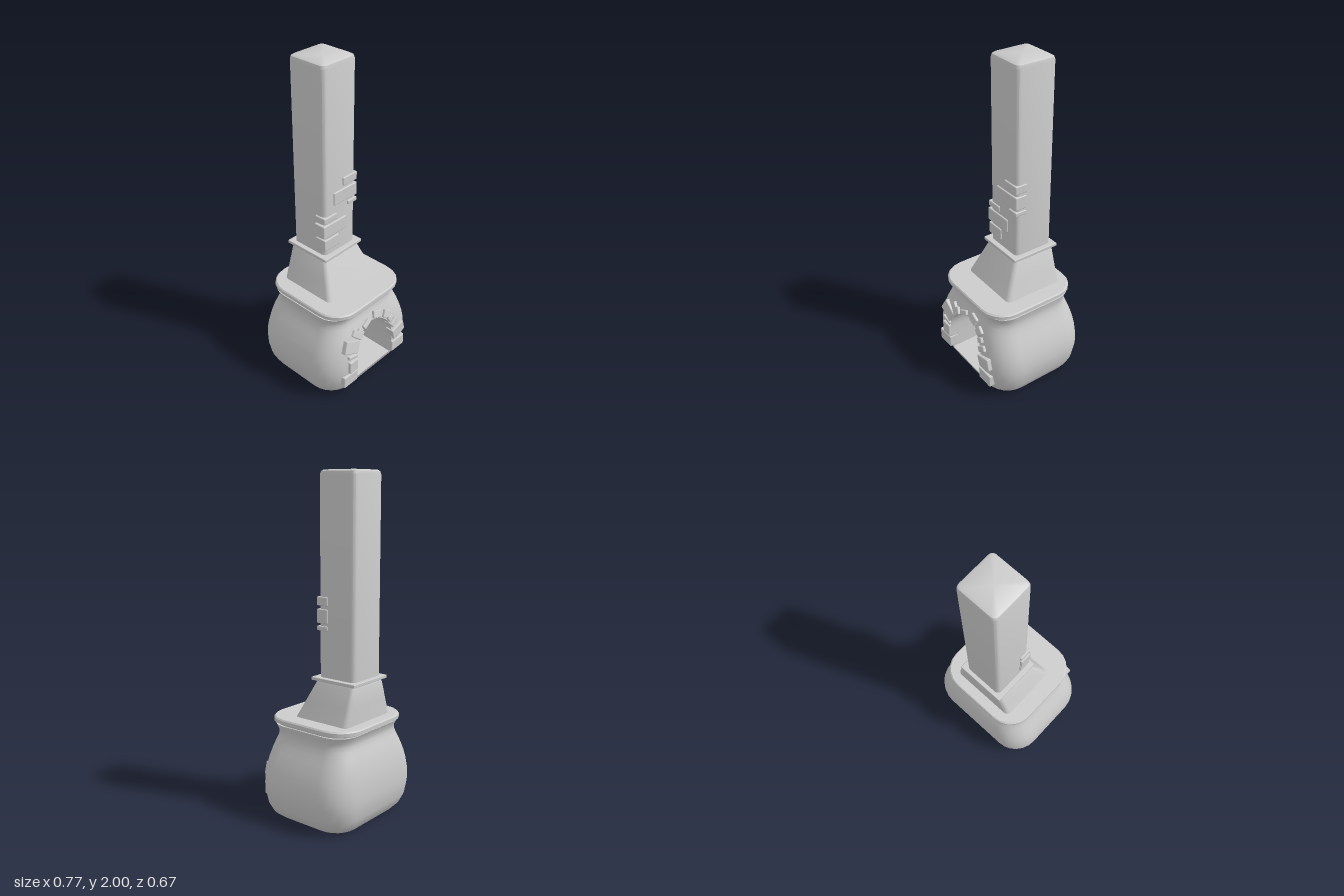
import * as THREE from 'three';
import { toCreasedNormals } from 'three/addons/utils/BufferGeometryUtils.js';
import { RoundedBoxGeometry } from 'three/addons/geometries/RoundedBoxGeometry.js';

const material = new THREE.MeshStandardMaterial({ color: 0xcccccc });
const inner = new THREE.MeshStandardMaterial({ color: 0xcccccc, side: THREE.DoubleSide });

// Collects triangles, dropping those without area
function soup() {
  const data = [];
  const tri = (a, b, c) => {
    const area = b.clone().sub(a).cross(c.clone().sub(a)).length();
    if (area > 1e-8) for (const p of [a, b, c]) data.push(p.x, p.y, p.z);
  };
  const quad = (a, b, c, d) => { tri(a, b, c); tri(a, c, d); };
  const geometry = (crease) => {
    const g = new THREE.BufferGeometry();
    g.setAttribute('position', new THREE.Float32BufferAttribute(data, 3));
    return toCreasedNormals(g, crease);
  };
  return { tri, quad, geometry };
}

// Rounded-rectangle section: half width, back and front z, corner radius
const section = (y, w, z0, z1, r) => ({ y, w, z0, z1, r });

// Front z of a lofted profile at any height
function frontZ(rows, y) {
  for (let i = 1; i < rows.length; i++) {
    if (y <= rows[i].y) {
      const t = (y - rows[i - 1].y) / (rows[i].y - rows[i - 1].y);
      return THREE.MathUtils.lerp(rows[i - 1].z1, rows[i].z1, t);
    }
  }
  return rows[rows.length - 1].z1;
}

// Skin through sections; front columns may be raised to leave an opening above holeRow
function loft(rows, { cols = [], holeRow = -1, steps = 4, crease = 0.6 } = {}) {
  const loops = rows.map((s, i) => {
    const pts = cols.map(({ x, lo }) => {
      const y = i > holeRow ? Math.max(s.y, lo) : s.y;
      return new THREE.Vector3(x, y, frontZ(rows, y));
    });
    for (let k = 0; k < 4; k++) {
      const cx = (k < 2 ? 1 : -1) * (s.w - s.r);
      const cz = k === 0 || k === 3 ? s.z1 - s.r : s.z0 + s.r;
      for (let j = 0; j <= steps; j++) {
        const t = (k + j / steps) * Math.PI / 2;
        pts.push(new THREE.Vector3(cx + s.r * Math.sin(t), s.y, cz + s.r * Math.cos(t)));
      }
    }
    return pts;
  });
  const out = soup(), n = loops[0].length;
  const isOpen = (j) => j < cols.length && cols[j].lo > 0;
  for (let i = 0; i < rows.length - 1; i++) {
    for (let j = 0; j < n; j++) {
      const k = (j + 1) % n;
      if (i === holeRow && isOpen(j) && isOpen(k)) continue;
      out.quad(loops[i][j], loops[i][k], loops[i + 1][k], loops[i + 1][j]);
    }
  }
  // End caps
  for (const i of [0, rows.length - 1]) {
    const s = rows[i], c = new THREE.Vector3(0, s.y, (s.z0 + s.z1) / 2);
    for (let j = 0; j < n; j++) {
      const a = loops[i][j], b = loops[i][(j + 1) % n];
      if (i) out.tri(c, a, b); else out.tri(c, b, a);
    }
  }
  return out.geometry(crease);
}

export function createModel() {
  const model = new THREE.Group();
  const add = (name, geometry, mat = material, parent = model) => {
    const mesh = new THREE.Mesh(geometry, mat);
    mesh.name = name;
    parent.add(mesh);
    return mesh;
  };

  // Bulging oven body: y, half width, half depth
  const bodyRows = [
    [0, 0.305, 0.265], [0.03, 0.343, 0.292], [0.08, 0.368, 0.313], [0.16, 0.383, 0.325],
    [0.2, 0.385, 0.326], [0.25, 0.381, 0.325], [0.3, 0.37, 0.32], [0.35, 0.353, 0.312],
    [0.4, 0.332, 0.3], [0.44, 0.314, 0.287], [0.475, 0.301, 0.273], [0.5, 0.296, 0.265],
    [0.525, 0.297, 0.266], [0.56, 0.305, 0.285],
  ].map(([y, w, d]) => section(y, w, -0.008 - d, -0.008 + d, w * 0.43));

  // Arched mouth
  const half = 0.165, floorY = 0.08, spring = 0.25, rise = 0.175;
  const arch = [];
  for (let i = 0; i <= 16; i++) {
    const t = Math.PI * (1 - i / 16);
    arch.push({ x: half * Math.cos(t), lo: spring + rise * Math.sin(t) });
  }
  const cols = [{ x: -half, lo: 0 }, ...arch, { x: half, lo: 0 }];
  add('ovenBody', loft(bodyRows, { cols, holeRow: 2, steps: 6, crease: 0.8 }));

  // Firebox: tunnel walls, floor and back
  const outline = [[-half, floorY], [-half, 0.16], ...arch.map((p) => [p.x, p.lo]), [half, 0.16], [half, floorY]];
  const backZ = -0.2;
  const box = soup();
  outline.forEach(([x, y], i) => {
    const [x2, y2] = outline[(i + 1) % outline.length];
    const f = (px, py) => new THREE.Vector3(px, py, frontZ(bodyRows, py));
    box.quad(f(x, y), f(x2, y2), new THREE.Vector3(x2, y2, backZ), new THREE.Vector3(x, y, backZ));
  });
  add('fireboxWalls', box.geometry(0.6), inner);
  const backShape = new THREE.Shape(outline.map(([x, y]) => new THREE.Vector2(x, y)));
  add('fireboxBack', new THREE.ShapeGeometry(backShape), inner).position.z = backZ;

  // Rim slab on top of the body
  add('rim', loft([
    [0.545, 0.293, 0.278], [0.566, 0.297, 0.287], [0.572, 0.309, 0.304],
    [0.592, 0.309, 0.304], [0.6, 0.303, 0.298],
  ].map(([y, w, d]) => section(y, w, -0.005 - d, -0.005 + d, 0.15)), { steps: 5 }));

  // Tapered hood, sloping at front and sides
  add('hood', loft([
    section(0.595, 0.212, -0.241, 0.143, 0.03),
    section(0.7, 0.178, -0.24, 0.094, 0.028),
    section(0.8, 0.146, -0.238, 0.047, 0.025),
    section(0.822, 0.135, -0.23, 0.036, 0.02),
  ]));

  // Flange plate under the chimney
  const flange = add('flange', new RoundedBoxGeometry(0.312, 0.02, 0.312, 1, 0.004));
  flange.position.set(0, 0.832, -0.098);

  // Chimney shaft with softened top edge
  add('chimney', loft([
    section(0.83, 0.127, -0.229, 0.026, 0.027),
    section(1.975, 0.127, -0.229, 0.026, 0.027),
    section(1.992, 0.122, -0.224, 0.021, 0.025),
    section(2, 0.11, -0.212, 0.009, 0.022),
  ], { steps: 3 }));

  const brick = (name, parent, w, h, d) => add(name, new RoundedBoxGeometry(w, h, d, 1, 0.006), material, parent);

  // Exposed bricks wrapping the chimney's front corners: x range, y range
  const chimneyBricks = new THREE.Group();
  chimneyBricks.name = 'chimneyBricks';
  model.add(chimneyBricks);
  for (const [x0, x1, y0, y1] of [
    [0.02, 0.133, 1.255, 1.307], [-0.055, 0.134, 1.155, 1.237], [0.06, 0.133, 1.113, 1.14],
    [-0.137, -0.032, 1.066, 1.102], [-0.142, 0.046, 0.966, 1.05], [-0.135, -0.016, 0.88, 0.953],
  ]) {
    brick('chimneyBrick', chimneyBricks, x1 - x0, y1 - y0, 0.078)
      .position.set((x0 + x1) / 2, (y0 + y1) / 2, -0.004);
  }

  // Uneven bricks round the mouth: x, y, width, height, turn in degrees
  const mouthBricks = new THREE.Group();
  mouthBricks.name = 'mouthBricks';
  model.add(mouthBricks);
  for (const [x, y, w, h, turn] of [
    [-0.221, 0.13, 0.117, 0.08, 0], [-0.2, 0.222, 0.07, 0.086, 0], [-0.2, 0.29, 0.078, 0.022, -14],
    [-0.2, 0.355, 0.115, 0.082, -25], [-0.138, 0.402, 0.085, 0.042, -45], [-0.108, 0.405, 0.03, 0.05, 35],
    [-0.048, 0.427, 0.065, 0.03, 25], [0.053, 0.44, 0.066, 0.048, -18], [0.13, 0.403, 0.055, 0.052, -32],
    [0.155, 0.362, 0.042, 0.034, 25], [0.182, 0.318, 0.062, 0.038, 32], [0.216, 0.242, 0.108, 0.078, 15],
    [0.221, 0.13, 0.115, 0.08, 0],
  ]) {
    const mesh = brick('mouthBrick', mouthBricks, w, h, 0.06);
    const slope = (frontZ(bodyRows, y + 0.03) - frontZ(bodyRows, y - 0.03)) / 0.06;
    mesh.position.set(x, y, frontZ(bodyRows, y) - 0.014);
    mesh.rotation.set(y > 0.3 ? Math.atan(slope) : 0, 0, THREE.MathUtils.degToRad(turn));
  }

  return model;
}
